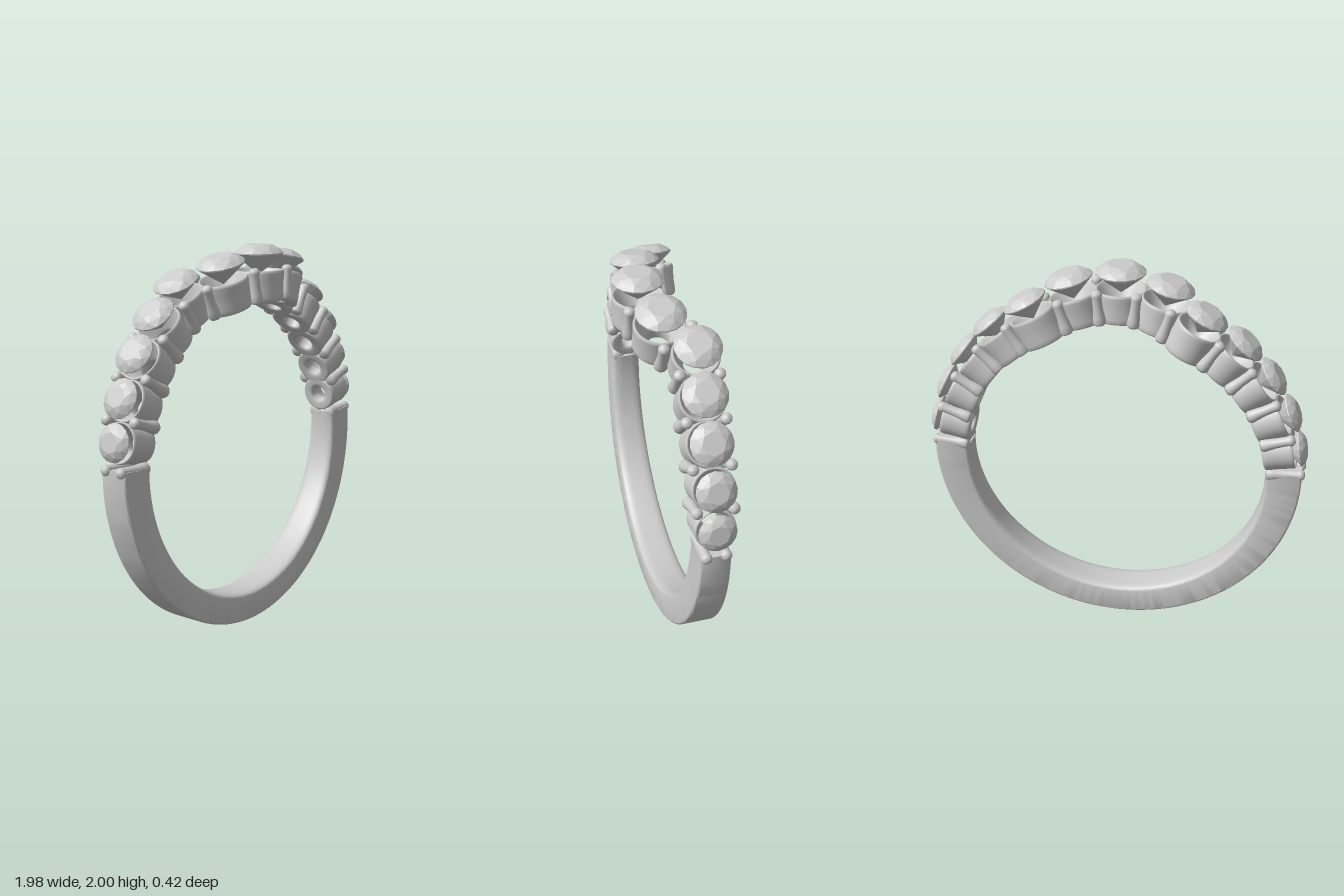
import * as THREE from 'three';
import { mergeVertices, toCreasedNormals } from 'three/addons/utils/BufferGeometryUtils.js';
import { ConvexGeometry } from 'three/addons/geometries/ConvexGeometry.js';

const CENTRE_Y = 0.94;   // centre of the finger hole
const INNER = 0.78;      // radius of the finger hole
const DEG = Math.PI / 180;
const material = new THREE.MeshStandardMaterial({ color: 0xcccccc });
const bandMaterial = new THREE.MeshStandardMaterial({ color: 0xcccccc });

// Stones of one half: angle from the top, z, stone radius, girdle distance, cup radius
const STONES = [
  { angle: 0, z: 0.075, r: 0.127, girdle: 1.018, cup: 0.13 },
  { angle: 14.6, z: 0.03, r: 0.123, girdle: 1.011, cup: 0.127 },
  { angle: 26.6, z: -0.095, r: 0.115, girdle: 1.003, cup: 0.117 },
  { angle: 40, z: -0.075, r: 0.109, girdle: 0.995, cup: 0.115 },
  { angle: 53, z: -0.067, r: 0.104, girdle: 0.985, cup: 0.111 },
  { angle: 66, z: -0.063, r: 0.099, girdle: 0.975, cup: 0.107 },
  { angle: 78.3, z: -0.058, r: 0.094, girdle: 0.967, cup: 0.102 },
];

function addMesh(parent, name, geometry, mat = material) {
  const mesh = new THREE.Mesh(geometry, mat);
  mesh.name = name;
  parent.add(mesh);
  return mesh;
}

// Group whose y axis points outward from the finger hole at an angle from the top
function radialGroup(parent, name, angleDeg, z) {
  const group = new THREE.Group();
  group.name = name;
  group.position.set(0, CENTRE_Y, z);
  group.rotation.z = -angleDeg * DEG;
  parent.add(group);
  return group;
}

// Rounded rectangle section in (radius, z), counterclockwise
function bandSection(r0, r1, z0, z1) {
  const pts = [];
  const corner = (r, z, a, b, start) => {
    for (let i = 0; i <= 5; i++) {
      const t = (start + i * 18) * DEG;
      pts.push([r + a * Math.cos(t), z + b * Math.sin(t)]);
    }
  };
  corner(r1 - 0.014, z1 - 0.014, 0.014, 0.014, 0);
  corner(r0 + 0.022, z1 - 0.05, 0.022, 0.05, 90);
  corner(r0 + 0.022, z0 + 0.05, 0.022, 0.05, 180);
  corner(r1 - 0.014, z0 + 0.014, 0.014, 0.014, 270);
  return pts;
}

// Plain lower band, wider and slightly thinner toward the bottom
function bandGeometry() {
  const STEPS = 110, positions = [], index = [];
  let count = 0;
  for (let i = -1; i <= STEPS + 1; i++) {
    const k = Math.min(Math.max(i, 0), STEPS);
    const angle = (3.9 - 187.8 * k / STEPS) * DEG;
    const low = Math.max(0, -Math.sin(angle));
    const outer = 0.967 - 0.029 * low;
    const front = 0.025 + 0.04 * low;
    const section = bandSection(INNER, outer, -0.125, front);
    count = section.length;
    for (const [r, z] of section) {
      // the first and last rings collapse to close the ends
      const rr = i === k ? r : (INNER + outer) / 2;
      const zz = i === k ? z : (front - 0.125) / 2;
      positions.push(rr * Math.cos(angle), CENTRE_Y + rr * Math.sin(angle), zz);
    }
  }
  for (let i = 0; i < STEPS + 2; i++) {
    for (let j = 0; j < count; j++) {
      const a = i * count + j, b = i * count + (j + 1) % count;
      const c = a + count, d = b + count;
      if (i > 0) index.push(a, b, c);
      if (i === 0) index.push(b, d, c);
      else if (i < STEPS + 1) index.push(b, d, c);
    }
  }
  const geometry = new THREE.BufferGeometry();
  geometry.setAttribute('position', new THREE.Float32BufferAttribute(positions, 3));
  geometry.setIndex(index);
  return toCreasedNormals(geometry, 0.7);
}

// Round brilliant cut with its girdle at y = 0
function stoneGeometry(r) {
  const pts = [];
  const ring = (n, radius, y, turn = 0) => {
    for (let i = 0; i < n; i++) {
      const t = (i + turn) / n * Math.PI * 2;
      pts.push(new THREE.Vector3(radius * r * Math.cos(t), y * r, radius * r * Math.sin(t)));
    }
  };
  ring(8, 0.54, 0.33);
  ring(8, 0.8, 0.21, 0.5);
  ring(16, 1, 0.02);
  ring(16, 1, -0.03);
  ring(8, 0.3, -0.62, 0.5);
  pts.push(new THREE.Vector3(0, -0.86 * r, 0));
  return new ConvexGeometry(pts);
}

// Open collet: a bored cup whose base follows the curve of the finger hole
function cupGeometry(r, top) {
  const hole = 0.42 * r;
  const profile = [
    [hole, 0.05], [hole + 0.008, 0.008], [hole + 0.02, 0], [0.86 * r, 0], [0.93 * r, 0.02],
    [0.975 * r, 0.08], [0.98 * r, 0.2], [0.97 * r, 0.45], [0.98 * r, 0.7], [r, 0.9],
    [0.985 * r, 0.97], [0.94 * r, 1], [0.89 * r, 0.97], [0.83 * r, 0.88],
    [hole + 0.008, 0.42], [hole, 0.36], [hole, 0.05],
  ].map(([x, y]) => new THREE.Vector2(x, y));
  let geometry = new THREE.LatheGeometry(profile, 40);
  const p = geometry.attributes.position;
  for (let i = 0; i < p.count; i++) {
    const x = p.getX(i);
    const base = Math.sqrt(INNER * INNER - x * x);
    const rim = Math.sqrt(top * top - x * x * 0.6);
    p.setY(i, base + (rim - base) * p.getY(i));
  }
  geometry.deleteAttribute('uv');
  geometry.deleteAttribute('normal');
  geometry = mergeVertices(geometry, 1e-5);
  geometry.computeVertexNormals();
  return geometry;
}

// Round-tipped prong rising from the finger hole, flared at its foot
function prongGeometry(tip) {
  const profile = [
    [0, 0.785], [0.026, 0.787], [0.034, 0.8], [0.03, 0.83], [0.025, 0.87], [0.024, tip - 0.04],
    [0.028, tip - 0.026], [0.026, tip - 0.013], [0.016, tip - 0.003], [0, tip],
  ].map(([x, y]) => new THREE.Vector2(x, y));
  return new THREE.LatheGeometry(profile, 16);
}

// Pair of prongs shared by two neighbouring stones
function addProngs(parent, a, b) {
  const arc = (b.angle - a.angle) * DEG * 0.9;
  const dz = b.z - a.z;
  const length = Math.hypot(arc, dz);
  const spread = 0.037 + 0.25 * (a.cup + b.cup);
  for (const side of [1, -1]) {
    const shift = -side * spread * dz / length / 0.9 / DEG;
    const z = (a.z + b.z) / 2 + side * spread * Math.abs(arc) / length;
    const group = radialGroup(parent, 'prong', (a.angle + b.angle) / 2 + shift, z);
    addMesh(group, 'prong', prongGeometry(0.965));
  }
}

export function createModel() {
  const ring = new THREE.Group();
  ring.name = 'ring';
  addMesh(ring, 'band', bandGeometry(), bandMaterial);

  for (const side of [1, -1]) {
    STONES.forEach((s, i) => {
      // the middle stone is shared by both halves
      if (i > 0 || side === 1) {
        const setting = radialGroup(ring, 'setting', side * s.angle, s.z);
        addMesh(setting, 'cup', cupGeometry(s.cup, 0.938));
        addMesh(setting, 'stone', stoneGeometry(s.r)).position.y = s.girdle;
      }
    });
  }

  // Prongs are built for the +x half and mirrored for the other
  for (const side of [1, -1]) {
    const prongs = new THREE.Group();
    prongs.name = side > 0 ? 'leftProngs' : 'rightProngs';
    const half = STONES.map((s) => ({ ...s }));
    for (let i = 0; i + 1 < half.length; i++) addProngs(prongs, half[i], half[i + 1]);
    // End prongs where the settings meet the band
    for (const z of [-0.004, -0.1]) {
      addMesh(radialGroup(prongs, 'endProng', 86.4, z), 'endProng', prongGeometry(0.985));
    }
    prongs.scale.x = side;
    ring.add(prongs);
  }
  return ring;
}
